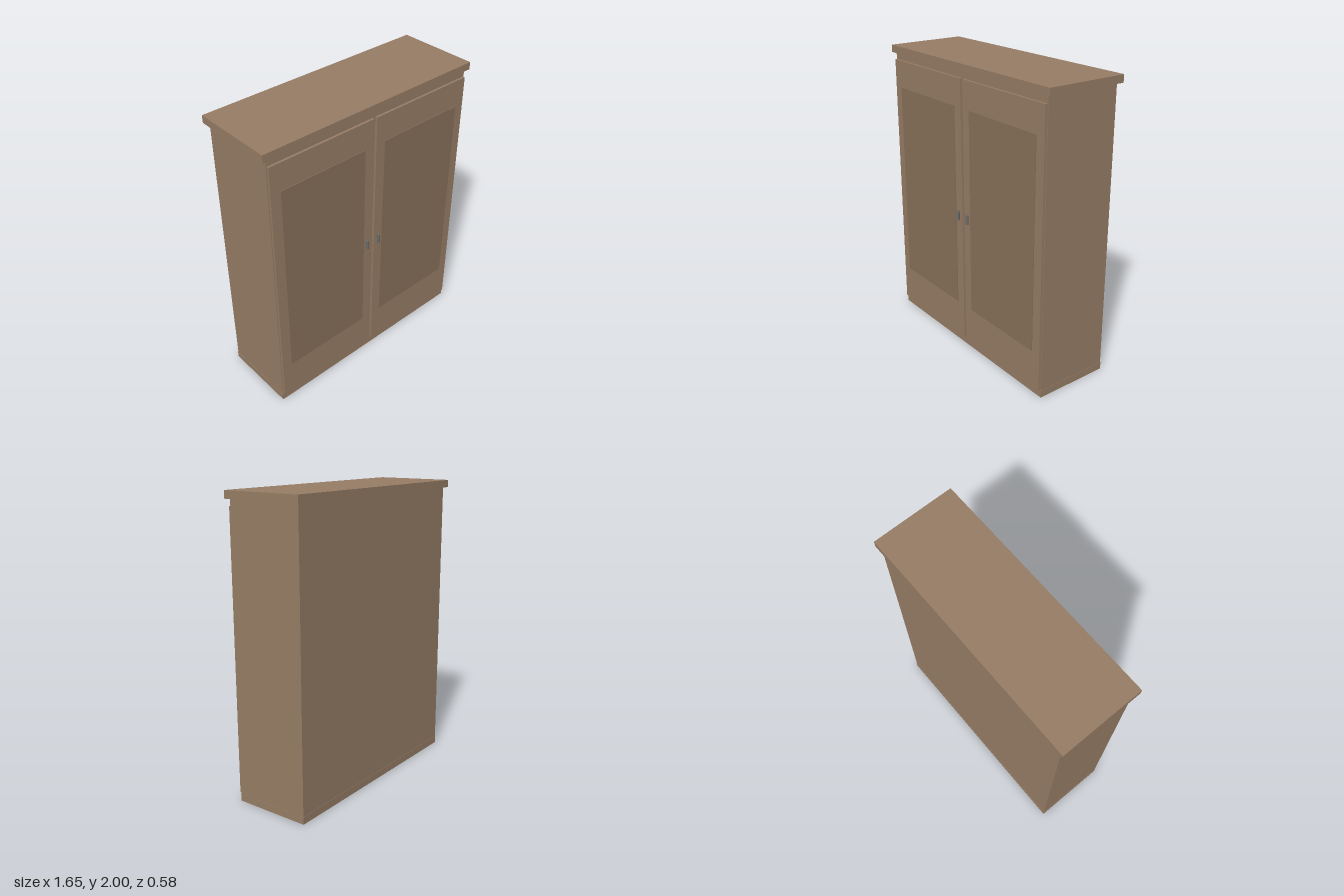
import * as THREE from 'three';

export function createModel() {
  const model = new THREE.Group();
  model.name = 'wardrobe';
  const wood = new THREE.MeshStandardMaterial({ color: 0x967c65 });
  const panelWood = new THREE.MeshStandardMaterial({ color: 0x877059 });
  const metal = new THREE.MeshStandardMaterial({ color: 0x6b6b6e, flatShading: true });

  // Box given by its lower and upper limits on each axis
  function box(name, [x0, x1], [y0, y1], [z0, z1], material, parent = model) {
    const mesh = new THREE.Mesh(new THREE.BoxGeometry(x1 - x0, y1 - y0, z1 - z0), material);
    mesh.position.set((x0 + x1) / 2, (y0 + y1) / 2, (z0 + z1) / 2);
    mesh.name = name;
    parent.add(mesh);
    return mesh;
  }

  // Carcass
  box('plinth', [-0.797, 0.797], [0, 0.05], [-0.269, 0.259], wood);
  box('cabinetBody', [-0.795, 0.795], [0.05, 1.95], [-0.267, 0.257], wood);
  box('topBoard', [-0.825, 0.825], [1.95, 2], [-0.29, 0.275], wood);

  // Two mirrored doors, each with a thin raised panel and a handle
  for (const side of [1, -1]) {
    const door = new THREE.Group();
    door.name = side > 0 ? 'leftDoor' : 'rightDoor';
    const span = (a, b) => (side > 0 ? [a, b] : [-b, -a]);
    box('doorBoard', span(0.012, 0.789), [0.055, 1.905], [0.255, 0.273], wood, door);
    box('doorPanel', span(0.08, 0.72), [0.315, 1.72], [0.265, 0.277], panelWood, door);

    const handle = new THREE.Mesh(new THREE.CylinderGeometry(0.01, 0.01, 0.067, 8), metal);
    handle.position.set(side * 0.05, 0.978, 0.28);
    handle.name = 'handle';
    door.add(handle);
    model.add(door);
  }
  return model;
}
